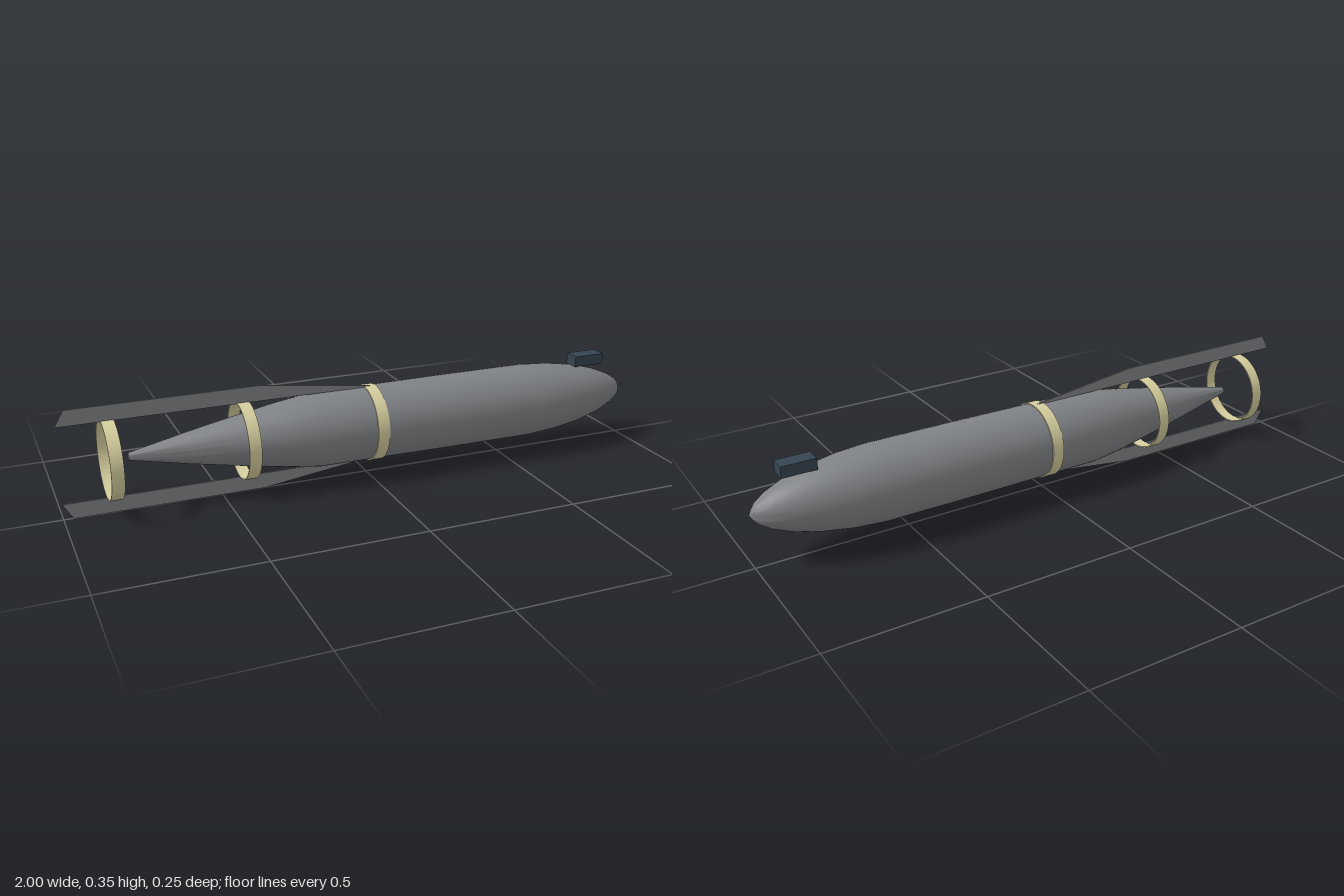
import * as THREE from 'three';
import { toCreasedNormals } from 'three/addons/utils/BufferGeometryUtils.js';

const AXIS_Y = 0.177;

export function createModel() {
  const model = new THREE.Group();
  const material = (name, color) => {
    const m = new THREE.MeshStandardMaterial({ color });
    m.name = name;
    return m;
  };
  const grey = material('bodyGrey', 0x808386);
  const cream = material('bandCream', 0xd8d0a0);
  const slate = material('darkSlate', 0x364550);

  const add = (name, geometry, mat, x, y, z = 0) => {
    const mesh = new THREE.Mesh(geometry, mat);
    mesh.name = name;
    mesh.position.set(x, y, z);
    model.add(mesh);
    return mesh;
  };

  // Revolve [x, radius] pairs around the long axis
  const revolve = (profile, crease) => {
    const points = profile.map(([x, r]) => new THREE.Vector2(r, x));
    const g = new THREE.LatheGeometry(points, 48);
    g.rotateZ(-Math.PI / 2);
    return toCreasedNormals(g, crease);
  };

  // Hull: blunt tail tip, long taper, straight middle, rounded nose
  add('hull', revolve([
    [-0.79, 0], [-0.79, 0.012], [-0.6, 0.051], [-0.42, 0.085], [-0.3, 0.106],
    [-0.18, 0.122], [0, 0.123], [0.3, 0.125], [0.6, 0.125], [0.7, 0.118],
    [0.8, 0.102], [0.88, 0.081], [0.94, 0.056], [0.975, 0.034], [0.99, 0.016], [1, 0],
  ], 0.75), grey, 0, AXIS_Y);

  // Bands joining the two rails
  const band = revolve([
    [-0.02, 0.123], [-0.02, 0.127], [0.02, 0.127], [0.02, 0.123], [-0.02, 0.123],
  ], 0.6);
  [['rearBand', -0.845], ['middleBand', -0.42], ['frontBand', 0.013]].forEach(
    ([name, x]) => add(name, band, cream, x, AXIS_Y));

  // Upper and lower fin rails
  for (const [name, s] of [['upperFin', 1], ['lowerFin', -1]]) {
    const shape = new THREE.Shape([
      [-1, 0.125], [0.04, 0.124], [-0.36, 0.176], [-0.97, 0.176],
    ].map(([x, y]) => new THREE.Vector2(x, s * y)));
    const g = new THREE.ExtrudeGeometry(shape, { depth: 0.006, bevelEnabled: false });
    add(name, g, grey, 0, AXIS_Y, -0.003);
  }

  // Guide lug above the nose
  add('guideLug', new THREE.BoxGeometry(0.112, 0.037, 0.056), slate, 0.846, 0.3);

  return model;
}
